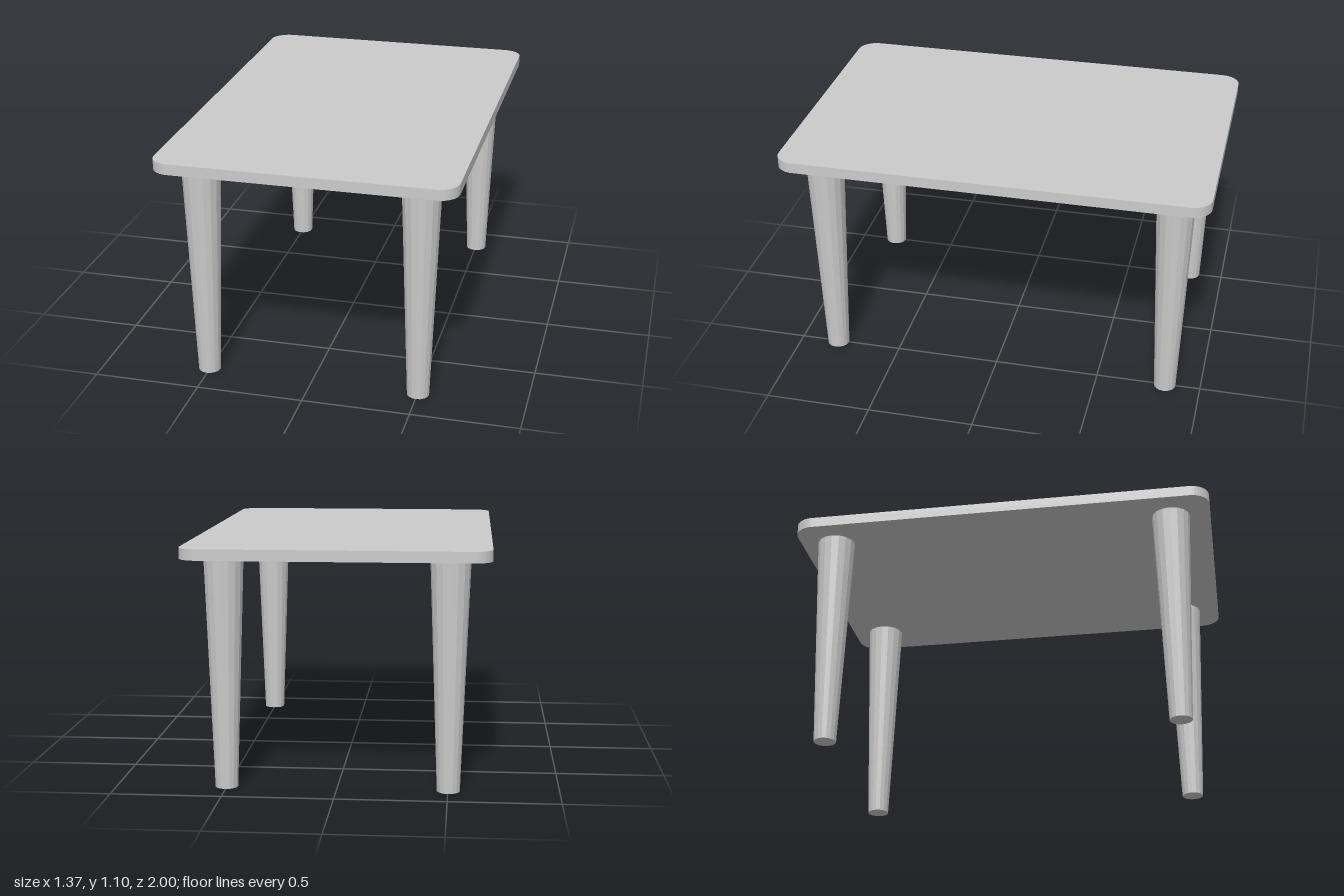
import * as THREE from 'three';

const WIDTH = 1.37, DEPTH = 2, HEIGHT = 1.1, THICKNESS = 0.05, CORNER = 0.09;

// Rectangle with rounded corners, centred on the origin
function roundedRectangle(w, d, r) {
  const x = w / 2 - r, y = d / 2 - r;
  const shape = new THREE.Shape();
  shape.absarc(x, y, r, 0, Math.PI / 2);
  shape.absarc(-x, y, r, Math.PI / 2, Math.PI);
  shape.absarc(-x, -y, r, Math.PI, Math.PI * 1.5);
  shape.absarc(x, -y, r, Math.PI * 1.5, Math.PI * 2);
  shape.closePath();
  return shape;
}

export function createModel() {
  const group = new THREE.Group();
  group.name = 'table';
  const material = new THREE.MeshStandardMaterial({ color: 0xcccccc, flatShading: true });

  // Table top, a flat slab with rounded corners
  const topGeometry = new THREE.ExtrudeGeometry(roundedRectangle(WIDTH, DEPTH, CORNER), {
    depth: THICKNESS, bevelEnabled: false, curveSegments: 6,
  });
  topGeometry.rotateX(-Math.PI / 2);
  const top = new THREE.Mesh(topGeometry, material);
  top.name = 'tableTop';
  top.position.y = HEIGHT - THICKNESS;
  group.add(top);

  // Four tapered round legs, the front pair set in slightly further
  const legHeight = HEIGHT - THICKNESS;
  const legGeometry = new THREE.CylinderGeometry(0.09, 0.052, legHeight, 16);
  for (const [end, z] of [['front', 0.813], ['back', -0.831]]) {
    for (const [side, x] of [['Left', 0.502], ['Right', -0.502]]) {
      const leg = new THREE.Mesh(legGeometry, material);
      leg.name = `${end}${side}Leg`;
      leg.position.set(x, legHeight / 2, z);
      group.add(leg);
    }
  }

  return group;
}
